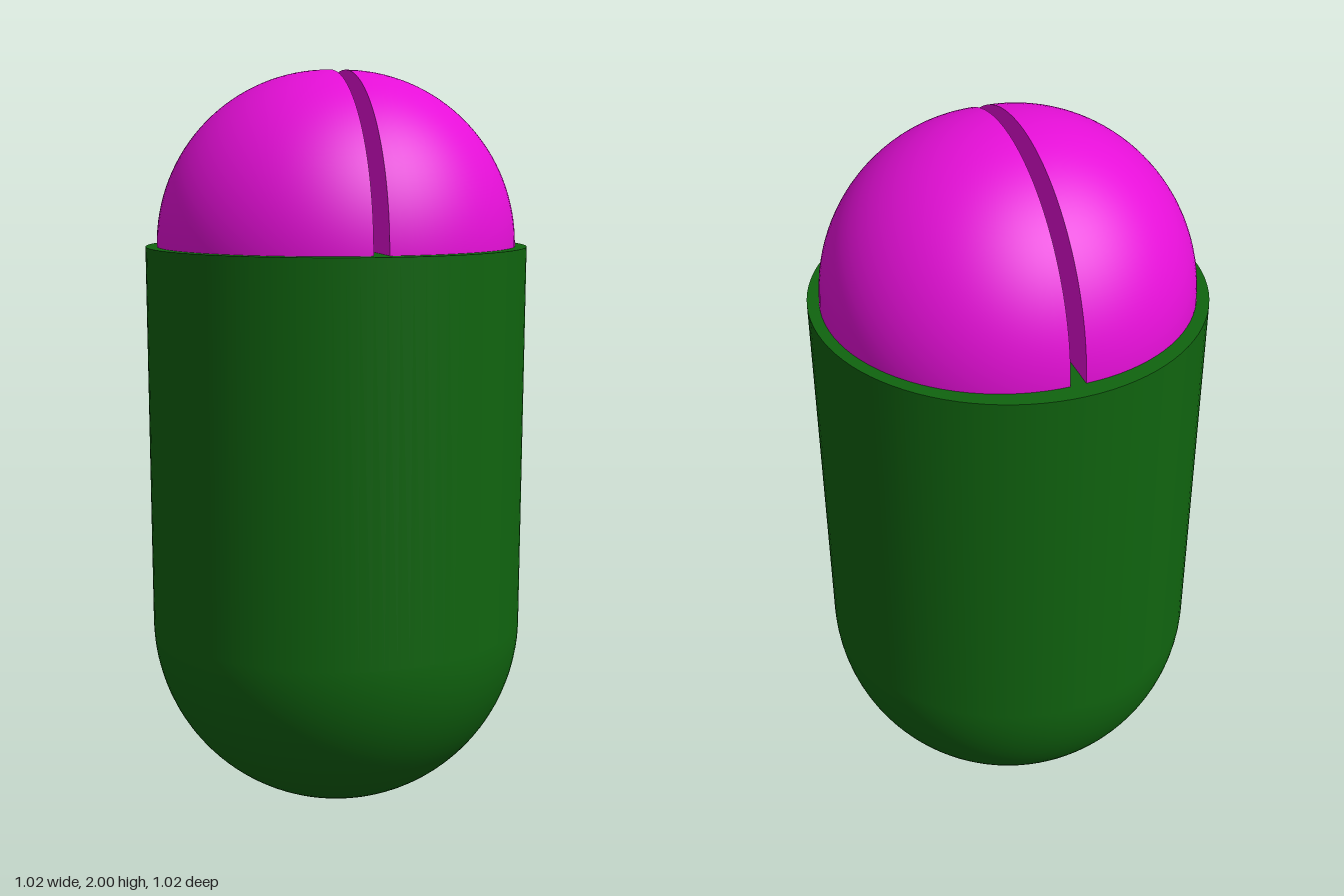
import * as THREE from 'three';

const BODY_R = 0.51, RIM_Y = 1.54, DOME_R = 0.46, HALF_GAP = 0.02;

export function createModel() {
  const model = new THREE.Group();
  model.name = 'capsule';
  const green = new THREE.MeshStandardMaterial({ color: 0x10640f });
  const magenta = new THREE.MeshStandardMaterial({ color: 0xe60fd8 });

  const add = (parent, name, geometry, material) => {
    const mesh = new THREE.Mesh(geometry, material);
    mesh.name = name;
    parent.add(mesh);
    return mesh;
  };

  // Round-bottomed body
  const profile = [];
  for (let i = 0; i <= 32; i++) {
    const a = (i / 32) * Math.PI / 2;
    profile.push(new THREE.Vector2(BODY_R * Math.sin(a), BODY_R * (1 - Math.cos(a))));
  }
  profile.push(new THREE.Vector2(BODY_R, RIM_Y));
  add(model, 'body', new THREE.LatheGeometry(profile, 96), green);

  // Flat top of the body, seen as the rim and the floor of the slot
  const top = new THREE.CircleGeometry(BODY_R, 96).rotateX(-Math.PI / 2);
  add(model, 'bodyTop', top, green).position.y = RIM_Y;

  // Two half domes set apart by a narrow slot
  const shell = new THREE.SphereGeometry(DOME_R, 48, 32, Math.PI / 2, Math.PI, 0, Math.PI / 2);
  const wall = new THREE.CircleGeometry(DOME_R, 64, 0, Math.PI).rotateY(-Math.PI / 2);
  for (const side of [1, -1]) {
    const half = new THREE.Group();
    half.name = side > 0 ? 'leftHalfDome' : 'rightHalfDome';
    add(half, 'domeShell', shell, magenta);
    add(half, 'slotWall', wall, magenta);
    half.position.set(side * HALF_GAP, RIM_Y, 0);
    half.rotation.y = side > 0 ? 0 : Math.PI;
    model.add(half);
  }
  return model;
}
